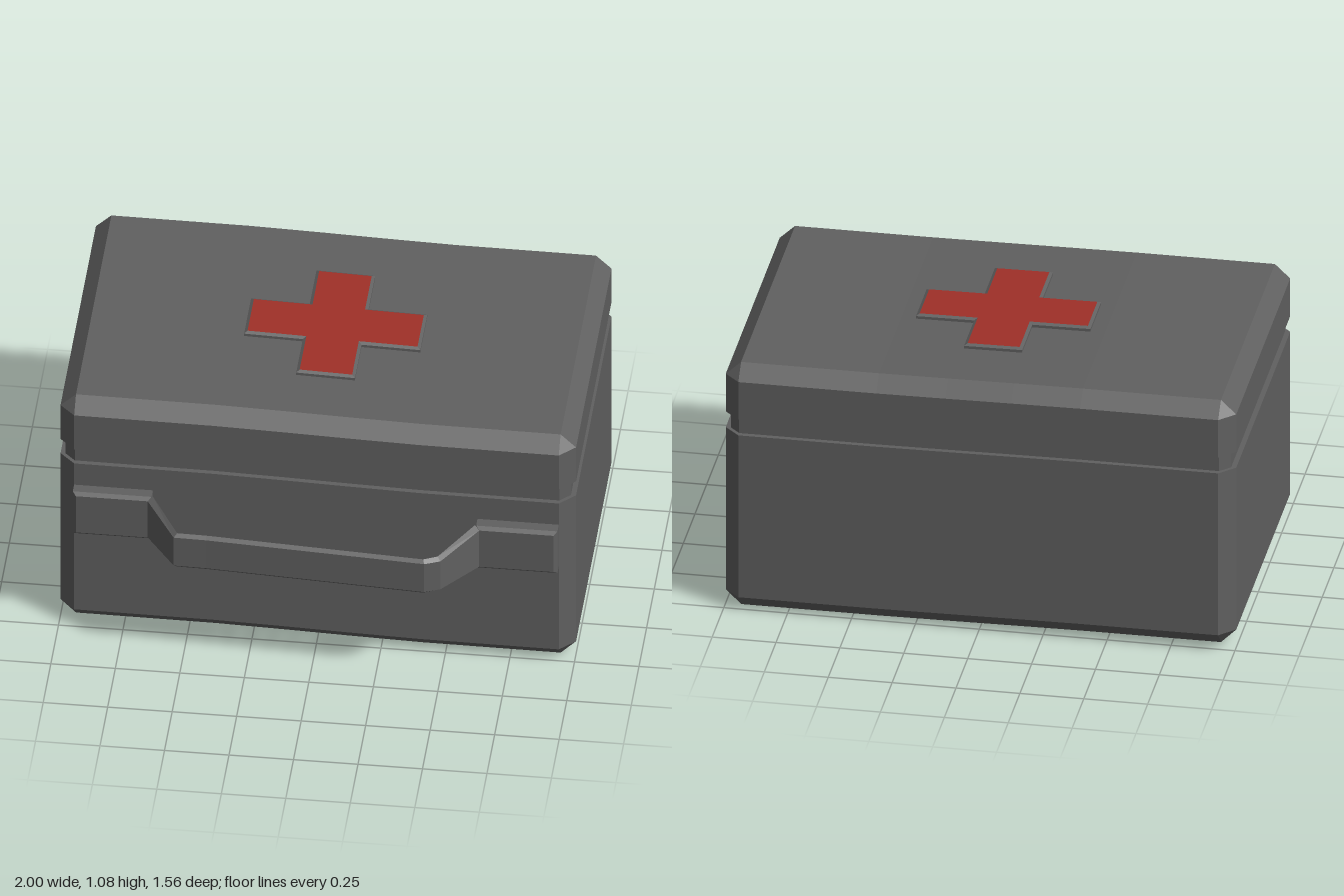
import * as THREE from 'three';

const grey = new THREE.MeshStandardMaterial({ color: 0x606060, flatShading: true });
const red = new THREE.MeshStandardMaterial({ color: 0xa03028, flatShading: true });

// Gentle hand-made warp: the -x end sits a little higher and further back
function warp(geometry) {
  const p = geometry.attributes.position;
  for (let i = 0; i < p.count; i++) {
    const k = 1 - THREE.MathUtils.smoothstep(p.getX(i), -0.65, 0.65);
    p.setY(i, p.getY(i) + 0.017 * k);
    p.setZ(i, p.getZ(i) - 0.013 * k);
  }
  geometry.computeVertexNormals();
  return geometry;
}

// Skin a list of equal-length rings and close both ends with strips
function loft(name, rings) {
  const n = rings[0].length;
  const index = [];
  const quad = (a, b, c, d) => index.push(a, b, c, a, c, d);
  for (let r = 0; r < rings.length - 1; r++) {
    for (let j = 0; j < n; j++) {
      const a = r * n + j, b = r * n + (j + 1) % n;
      quad(a, b, b + n, a + n);
    }
  }
  const end = (rings.length - 1) * n;
  for (let j = 0; j < n / 2 - 1; j++) {
    const k = n - 1 - j;
    quad(k, k - 1, j + 1, j);
    quad(end + j, end + j + 1, end + k - 1, end + k);
  }
  const g = new THREE.BufferGeometry();
  g.setAttribute('position', new THREE.Float32BufferAttribute(rings.flat(2), 3));
  g.setIndex(index);
  const mesh = new THREE.Mesh(warp(g.toNonIndexed()), grey);
  mesh.name = name;
  return mesh;
}

// Chamfered rectangular ring of the case at one height
const FRONT = 0.507, BACK = -0.768, C = 0.06;
const XS = [-0.94, -0.4, -0.13, 0.13, 0.4, 0.94];
function caseRing(y, inset) {
  const side = 1 - inset;
  return [
    [-side, y, FRONT - C],
    ...XS.map(x => [x, y, FRONT - inset]),
    [side, y, FRONT - C],
    [side, y, BACK + C],
    ...[...XS].reverse().map(x => [x, y, BACK + inset]),
    [-side, y, BACK + C],
  ];
}

// Mounting pad with a bevelled front
function pad(name, x0, x1) {
  const ring = (z, b) => [
    [x0 + b, 0.46 + b, z], [x1 - b, 0.46 + b, z],
    [x1 - b, 0.66 - b, z], [x0 + b, 0.66 - b, z],
  ];
  return loft(name, [ring(0.46, 0), ring(0.55, 0), ring(0.563, 0.013)]);
}

export function createModel() {
  const group = new THREE.Group();

  // Case: base, seam groove and lid
  group.add(loft('base', [[0, C], [0.06, 0], [0.762, 0], [0.762, 0.02]]
    .map(([y, i]) => caseRing(y, i))));
  group.add(loft('seam', [0.75, 0.84].map(y => caseRing(y, 0.02))));
  group.add(loft('lid', [[0.83, 0.02], [0.83, 0], [0.993, 0], [1.05, C]]
    .map(([y, i]) => caseRing(y, i))));

  // Handle pads and the thin bent grip between them
  const handle = new THREE.Group();
  handle.name = 'handle';
  handle.add(pad('leftHandlePad', 0.625, 0.94), pad('rightHandlePad', -0.94, -0.635));
  const path = [
    // x, z, back shift in x, bottom, top
    [0.64, 0.56, -0.02, 0.46, 0.66],
    [0.51, 0.752, -0.012, 0.48, 0.64],
    [0.45, 0.778, -0.005, 0.48, 0.64],
    [-0.4, 0.755, 0, 0.48, 0.64],
    [-0.525, 0.755, 0.012, 0.48, 0.64],
    [-0.65, 0.56, 0.02, 0.46, 0.66],
  ];
  handle.add(loft('grip', path.map(([x, z, s, y0, y1]) => [
    [x + s, y0, z - 0.013], [x, y0 + 0.013, z],
    [x, y1 - 0.013, z], [x + s, y1, z - 0.013],
  ])));
  group.add(handle);

  // Raised cross on the lid: red face, grey bevelled rim
  const L = 0.33, a = 0.102;
  const shape = new THREE.Shape([
    [a, a], [a, L - 0.012], [-a, L - 0.012], [-a, a], [-L, a], [-L, -a],
    [-a, -a], [-a, -L + 0.012], [a, -L + 0.012], [a, -a], [L, -a], [L, a],
  ].map(([x, y]) => new THREE.Vector2(x, y)));
  const crossGeometry = new THREE.ExtrudeGeometry(shape, {
    depth: 0.02, bevelThickness: 0.007, bevelSize: 0.012, bevelSegments: 1,
  });
  crossGeometry.rotateX(-Math.PI / 2).translate(0, 1.041, -0.12);
  const cross = new THREE.Mesh(warp(crossGeometry), [red, grey]);
  cross.name = 'cross';
  group.add(cross);

  return group;
}
